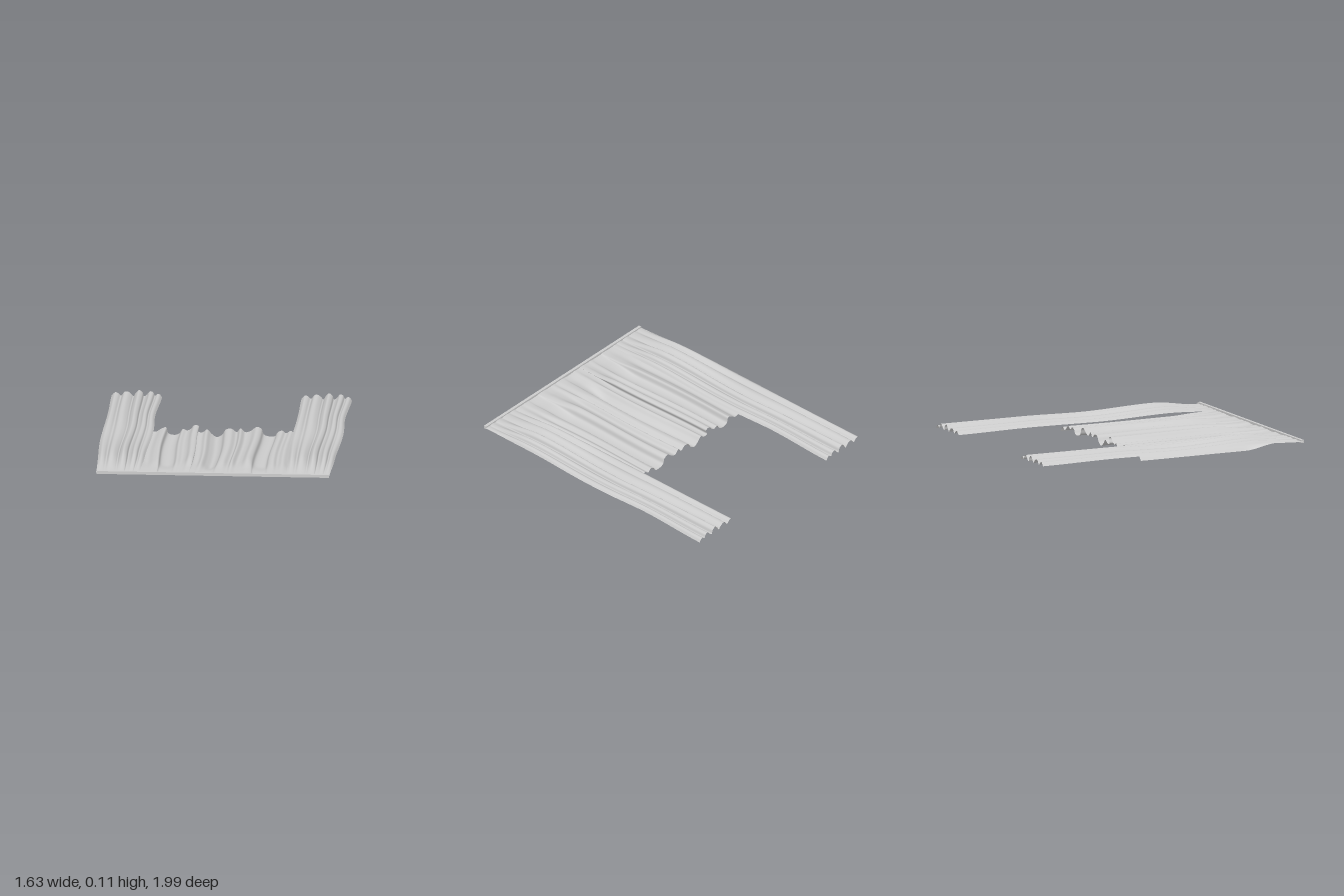
import * as THREE from 'three';

const material = new THREE.MeshStandardMaterial({ color: 0xcccccc, side: THREE.DoubleSide });

// Smooth interpolation through [z, value] keys in descending z
function ramp(keys, z) {
  if (z >= keys[0][0]) return keys[0][1];
  for (let i = 1; i < keys.length; i++) {
    const [z0, a] = keys[i - 1], [z1, b] = keys[i];
    if (z >= z1) return a + (b - a) * THREE.MathUtils.smoothstep((z0 - z) / (z0 - z1), 0, 1);
  }
  return keys[keys.length - 1][1];
}

// Sheet swept along z: each row is the fold profile, reshaped by place(x, y, z)
function pleatedSheet(name, profile, zFront, zBack, across, along, place) {
  const curve = new THREE.CatmullRomCurve3(profile.map(([x, y]) => new THREE.Vector3(x, y, 0)));
  const row = curve.getSpacedPoints(across);
  const geometry = new THREE.PlaneGeometry(1, 1, across, along);
  const position = geometry.attributes.position;
  for (let j = 0; j <= along; j++) {
    const z = zFront + (zBack - zFront) * j / along;
    row.forEach((p, i) => {
      const [x, y] = place(p.x, p.y, z);
      position.setXYZ(j * (across + 1) + i, x, y, z);
    });
  }
  // rows run front to back, so flip the winding to face upward
  geometry.computeVertexNormals();
  const mesh = new THREE.Mesh(geometry, material);
  mesh.name = name;
  return mesh;
}

// Side drape: heights are deviations about its middle line
const sideProfile = [
  [-0.17, -0.014], [-0.145, 0.008], [-0.125, 0.002], [-0.105, -0.013], [-0.08, 0.012],
  [-0.055, 0.013], [-0.03, -0.004], [-0.018, -0.016], [0, 0.008], [0.02, 0.025],
  [0.042, 0.01], [0.052, -0.016], [0.07, -0.004], [0.09, 0.018], [0.11, 0.012],
  [0.122, -0.01], [0.14, 0.002], [0.155, -0.002], [0.17, -0.022]
];
const sideLevel = [[1, 0.065], [0.6, 0.092], [0.05, 0.077], [-0.4, 0.081], [-1, 0.076]];
const sideDepth = [[1, 0.12], [0.6, 0.95], [0, 0.75], [-0.4, 0.9], [-1, 1.05]];
const outerEdge = [[1, -0.148], [0.1, -0.173], [-0.5, -0.165], [-1, -0.171]];
const innerEdge = [[1, 0.145], [0.6, 0.158], [-0.1, 0.172], [-0.5, 0.158], [-1, 0.172]];

function sideDrape(name, centre) {
  return pleatedSheet(name, sideProfile, 0.99, -0.99, 110, 70, (x, y, z) => {
    const t = (x + 0.17) / 0.34;
    const a = ramp(outerEdge, z), b = ramp(innerEdge, z);
    const sway = 0.005 * Math.sin(z * 4 + t * 5) * Math.sin(Math.PI * t);
    return [centre + a + (b - a) * t + sway, ramp(sideLevel, z) + y * ramp(sideDepth, z)];
  });
}

// Middle drape: absolute heights, with edges folding down under the side drapes
const middleProfile = [
  [-0.66, 0.004], [-0.635, 0.03], [-0.6, 0.05], [-0.56, 0.052], [-0.52, 0.05], [-0.475, 0.038],
  [-0.43, 0.062], [-0.4, 0.07], [-0.385, 0.03], [-0.34, 0.018], [-0.305, 0.03], [-0.28, 0.06],
  [-0.25, 0.05], [-0.225, 0.062], [-0.195, 0.09], [-0.165, 0.08], [-0.175, 0.045], [-0.14, 0.04],
  [-0.11, 0.06], [-0.08, 0.03], [-0.045, 0.008], [-0.01, 0.025], [0.015, 0.062], [0.05, 0.068],
  [0.085, 0.045], [0.11, 0.072], [0.14, 0.045], [0.175, 0.055], [0.215, 0.084], [0.245, 0.07],
  [0.26, 0.032], [0.3, 0.018], [0.335, 0.022], [0.355, 0.05], [0.385, 0.06], [0.41, 0.042],
  [0.445, 0.06], [0.475, 0.04], [0.5, 0.022], [0.53, 0.04], [0.55, 0.03], [0.565, 0.006]
];
const middleDepth = [[1, 0.08], [0.86, 0.3], [0.62, 1], [-0.17, 1]];
const middleLevel = [[1, 0.064], [0.9, 0.058], [0.6, 0.054], [-0.17, 0.05]];

function middleDrape() {
  return pleatedSheet('middleDrape', middleProfile, 0.99, -0.17, 230, 50, (x, y, z) => {
    const sway = 0.008 * Math.sin(z * 5 + x * 7) * (1 - Math.pow(Math.abs(x) / 0.67, 4));
    return [x + sway, Math.max(0, ramp(middleLevel, z) + (y - 0.05) * ramp(middleDepth, z))];
  });
}

export function createModel() {
  const model = new THREE.Group();
  model.name = 'drapedCurtain';

  // Straight rail along the front edge
  const rail = new THREE.Mesh(new THREE.BoxGeometry(1.58, 0.02, 0.02), material);
  rail.name = 'rail';
  rail.position.set(-0.005, 0.065, 0.985);

  model.add(rail, middleDrape(), sideDrape('rightDrape', -0.65), sideDrape('leftDrape', 0.64));
  return model;
}
